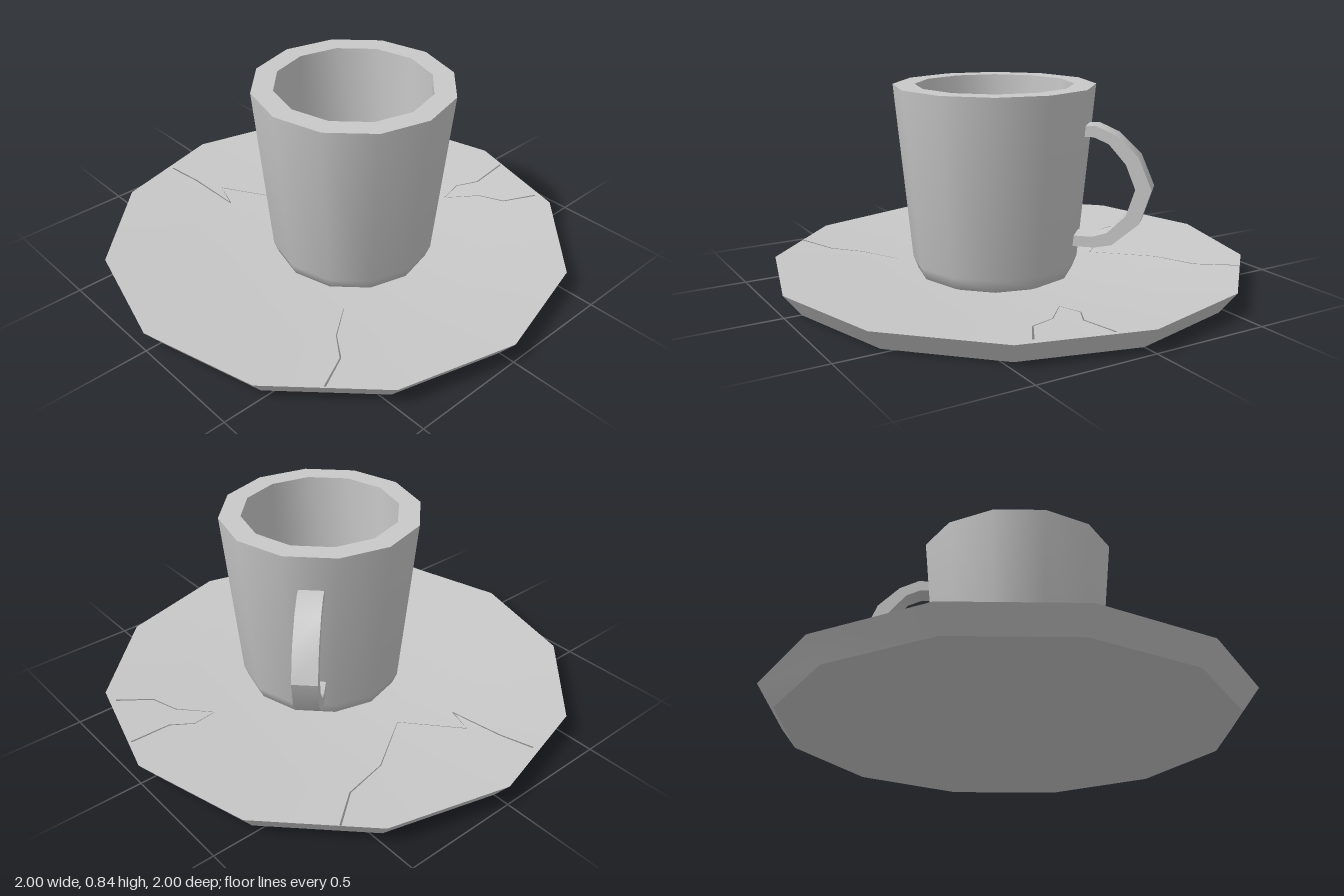
import * as THREE from 'three';
import { toCreasedNormals } from 'three/addons/utils/BufferGeometryUtils.js';

const SIDES = 12;

function vec(points) {
  return points.map(([x, y]) => new THREE.Vector2(x, y));
}

// Twelve-sided turned part with smooth walls and sharp rims
function turned(name, profile, material) {
  const geometry = new THREE.LatheGeometry(vec(profile), SIDES);
  const mesh = new THREE.Mesh(toCreasedNormals(geometry, 0.9), material);
  mesh.name = name;
  return mesh;
}

// Height of the dished saucer top at a distance from its centre
function dishHeight(r) {
  return 0.04 + 0.05 * THREE.MathUtils.clamp((r - 0.35) / 0.63, 0, 1);
}

// Hairline crack: a flat ribbon tapering towards its start, laid on the dish
function crack(path, material) {
  const positions = [];
  const indices = [];
  path.forEach(([x, z], i) => {
    const a = path[Math.max(i - 1, 0)];
    const b = path[Math.min(i + 1, path.length - 1)];
    const length = Math.hypot(b[0] - a[0], b[1] - a[1]);
    const half = 0.001 + 0.003 * i / (path.length - 1);
    const nx = -(b[1] - a[1]) / length * half;
    const nz = (b[0] - a[0]) / length * half;
    const y = dishHeight(Math.hypot(x, z)) + 0.004;
    positions.push(x + nx, y, z + nz, x - nx, y, z - nz);
    if (i > 0) {
      const k = 2 * i;
      indices.push(k - 2, k, k - 1, k - 1, k, k + 1);
    }
  });
  const geometry = new THREE.BufferGeometry();
  geometry.setAttribute('position', new THREE.Float32BufferAttribute(positions, 3));
  geometry.setIndex(indices);
  geometry.computeVertexNormals();
  const mesh = new THREE.Mesh(geometry, material);
  mesh.name = 'saucerCrack';
  return mesh;
}

export function createModel() {
  const ceramic = new THREE.MeshStandardMaterial({ color: 0xc8c8c8 });
  ceramic.name = 'grey ceramic';
  const crackGrey = new THREE.MeshStandardMaterial({ color: 0x808080, side: THREE.DoubleSide });
  crackGrey.name = 'crack grey';

  const model = new THREE.Group();
  model.name = 'crackedCupAndSaucer';

  // Saucer: flat base, flared edge, shallow dish
  model.add(turned('saucer', [
    [0, 0], [0.93, 0], [1, 0.09], [0.67, 0.065], [0.35, 0.04], [0, 0.04],
  ], ceramic));

  // Cracks running in from the saucer edge
  const cracks = [
    [[-0.31, 0.38], [-0.45, 0.49], [-0.53, 0.6], [-0.68, 0.68]],
    [[0.57, 0.12], [0.69, 0.23], [0.73, 0.34], [0.86, 0.42]],
    [[0.57, 0.12], [0.68, 0.1], [0.77, 0.15], [0.95, 0.14]],
    [[0.02, -0.41], [0.27, -0.58], [0.47, -0.63], [0.62, -0.75]],
    [[0.02, -0.41], [-0.15, -0.64], [-0.19, -0.52], [-0.21, -0.76], [-0.24, -0.91]],
  ];
  cracks.forEach((path) => model.add(crack(path, crackGrey)));

  // Cup stands slightly off the saucer's centre
  const cup = new THREE.Group();
  cup.name = 'cup';
  cup.position.set(0.02, 0, 0.08);
  model.add(cup);

  // Tapered body with bevelled foot, thick rim and hollow inside
  cup.add(turned('cupBody', [
    [0, 0.041], [0.28, 0.041], [0.325, 0.06], [0.345, 0.11],
    [0.415, 0.84], [0.325, 0.84], [0.316, 0.14], [0, 0.14],
  ], ceramic));

  // Faceted loop handle, pointing diagonally back
  const outer = [
    [0.36, 0.69], [0.43, 0.69], [0.51, 0.655], [0.6, 0.57], [0.655, 0.44],
    [0.61, 0.3], [0.5, 0.205], [0.43, 0.19], [0.32, 0.19],
  ];
  const inner = [
    [0.32, 0.235], [0.42, 0.235], [0.48, 0.255], [0.555, 0.33], [0.59, 0.44],
    [0.55, 0.54], [0.48, 0.62], [0.42, 0.645], [0.36, 0.645],
  ];
  const width = 0.1;
  const loop = new THREE.ExtrudeGeometry(new THREE.Shape(vec([...outer, ...inner])), {
    depth: width, bevelEnabled: false,
  });
  loop.translate(0, 0, -width / 2);
  const handle = new THREE.Mesh(toCreasedNormals(loop, 0.7), ceramic);
  handle.name = 'handle';
  handle.rotation.y = Math.PI / 4;
  cup.add(handle);

  return model;
}
